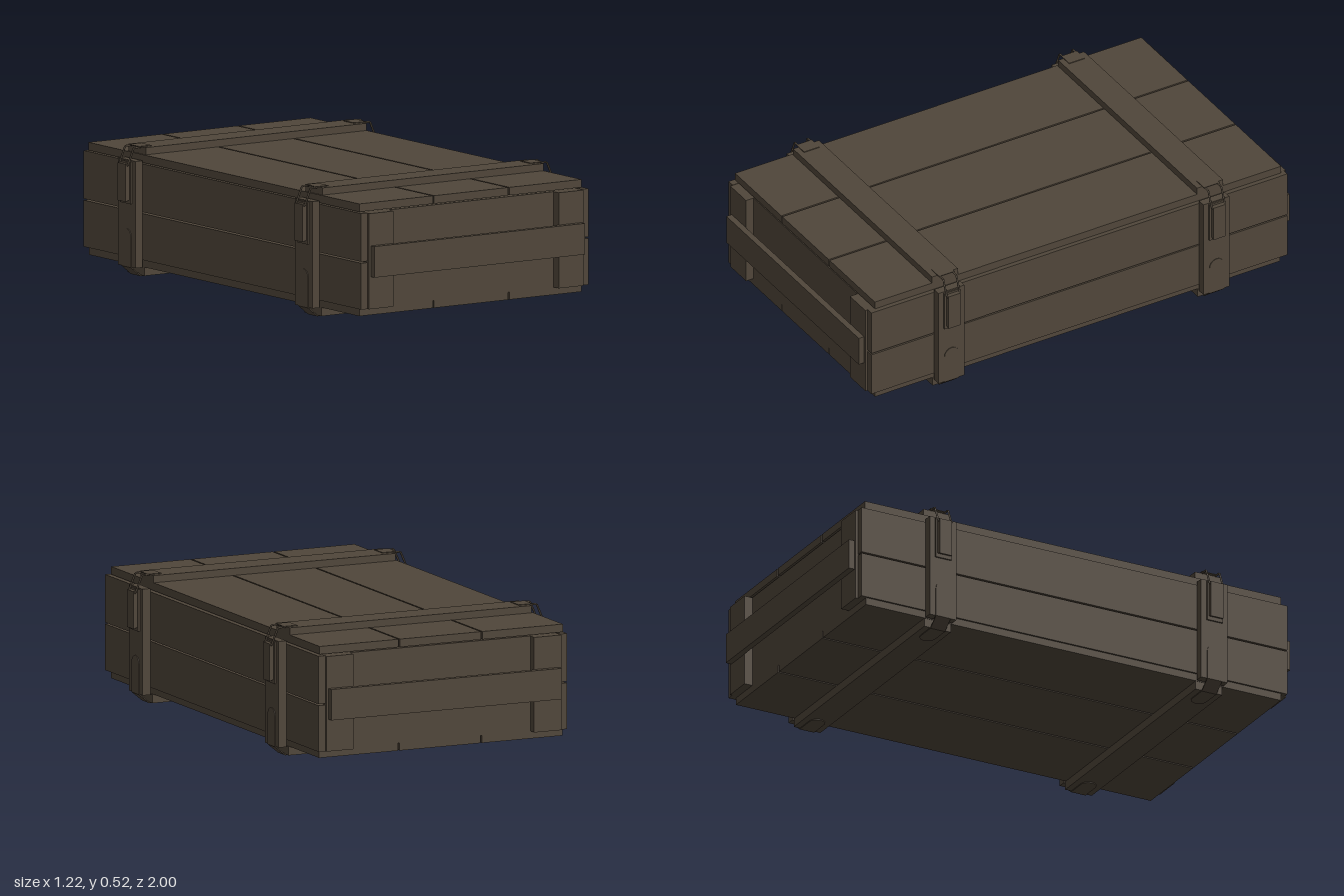
import * as THREE from 'three';

export function createModel() {
  const model = new THREE.Group();
  model.name = 'crate';
  const wood = new THREE.MeshStandardMaterial({ color: 0x50463a });
  wood.name = 'dark olive brown';

  // Box given by its min and max on each axis
  const box = (name, x0, x1, y0, y1, z0, z1, parent = model) => {
    const mesh = new THREE.Mesh(new THREE.BoxGeometry(x1 - x0, y1 - y0, z1 - z0), wood);
    mesh.name = name;
    mesh.position.set((x0 + x1) / 2, (y0 + y1) / 2, (z0 + z1) / 2);
    parent.add(mesh);
  };

  // Outline in x and y, extruded along z about the centre
  const slab = (name, points, width, parent) => {
    const shape = new THREE.Shape(points.map(p => new THREE.Vector2(...p)));
    const geometry = new THREE.ExtrudeGeometry(shape, { depth: width, bevelEnabled: false });
    geometry.translate(0, 0, -width / 2);
    const mesh = new THREE.Mesh(geometry, wood);
    mesh.name = name;
    parent.add(mesh);
  };

  // Lid and floor: three planks each
  for (const [x0, x1] of [[-0.542, -0.186], [-0.179, 0.179], [0.186, 0.535]]) {
    box('lidPlank', x0, x1, 0.465, 0.497, -0.945, 0.94);
    box('floorPlank', x0, x1, 0.045, 0.075, -0.94, 0.94);
  }

  // Long sides: two planks with a gap, a narrow batten hides the lid joint
  for (const s of [-1, 1]) {
    for (const [y0, y1] of [[0.075, 0.262], [0.268, 0.462]]) {
      const [a, b] = s > 0 ? [0.52, 0.55] : [-0.55, -0.52];
      box('sidePlank', a, b, y0, y1, -0.965, 0.965);
      const [c, d] = s > 0 ? [0.91, 0.94] : [-0.94, -0.91];
      box('endPlank', -0.519, 0.519, y0, y1 - 0.002, c, d);
    }
    // Corner cleats and carrying rail on each end
    const [c, d] = s > 0 ? [0.94, 0.975] : [-0.975, -0.94];
    box('cornerCleat', -0.52, -0.4, 0.075, 0.46, c, d);
    box('cornerCleat', 0.4, 0.52, 0.075, 0.46, c, d);
    const [e, f] = s > 0 ? [0.975, 1] : [-1, -0.975];
    box('carryingRail', -0.51, 0.51, 0.205, 0.33, e, f);
  }

  // Two bands of battens with their fittings
  for (const z of [-0.615, 0.615]) {
    const band = new THREE.Group();
    band.name = 'battenBand';
    band.position.z = z;
    model.add(band);
    box('topBatten', -0.535, 0.535, 0.497, 0.526, -0.06, 0.06, band);
    box('bottomBatten', -0.54, 0.54, 0.01, 0.045, -0.06, 0.06, band);

    for (const turn of [0, Math.PI]) {
      const half = new THREE.Group();
      half.name = 'bandSide';
      half.rotation.y = turn;
      band.add(half);
      box('sideBatten', 0.55, 0.585, 0.045, 0.475, -0.06, 0.06, half);

      // Latch plate and lever
      slab('latch', [[0.585, 0.318], [0.61, 0.31], [0.61, 0.462], [0.585, 0.462]], 0.056, half);
      box('latchBase', 0.585, 0.592, 0.3, 0.47, -0.036, 0.036, half);

      // Top clasp plate and wire bail
      box('claspPlate', 0.49, 0.55, 0.526, 0.529, -0.036, 0.036, half);
      const bail = [[0.54, 0.525, -0.03], [0.572, 0.525, -0.03], [0.602, 0.455, -0.03],
        [0.602, 0.455, 0.03], [0.572, 0.525, 0.03], [0.54, 0.525, 0.03]]
        .map(p => new THREE.Vector3(...p));
      const path = new THREE.CurvePath();
      for (let i = 0; i < bail.length - 1; i++) path.add(new THREE.LineCurve3(bail[i], bail[i + 1]));
      const wire = new THREE.Mesh(new THREE.TubeGeometry(path, 40, 0.004, 6, false), wood);
      wire.name = 'wireBail';
      half.add(wire);

      // Bent strap joining the floor batten to the side batten
      slab('cornerStrap', [[0.585, 0.165], [0.588, 0.165], [0.588, 0.044], [0.542, 0.006],
        [0.46, 0.006], [0.46, 0.01], [0.54, 0.01], [0.585, 0.047]], 0.066, half);
      // Rounded strap ends
      const sideEnd = new THREE.Mesh(new THREE.CylinderGeometry(0.033, 0.033, 0.003, 20), wood);
      sideEnd.name = 'strapSideEnd';
      sideEnd.rotation.z = Math.PI / 2;
      sideEnd.position.set(0.5865, 0.165, 0);
      const floorEnd = new THREE.Mesh(new THREE.CylinderGeometry(0.033, 0.033, 0.004, 20), wood);
      floorEnd.name = 'strapFloorEnd';
      floorEnd.position.set(0.46, 0.008, 0);
      half.add(sideEnd, floorEnd);
    }
  }

  // Rest the straps on the ground
  model.children.forEach(part => { part.position.y -= 0.006; });
  return model;
}
